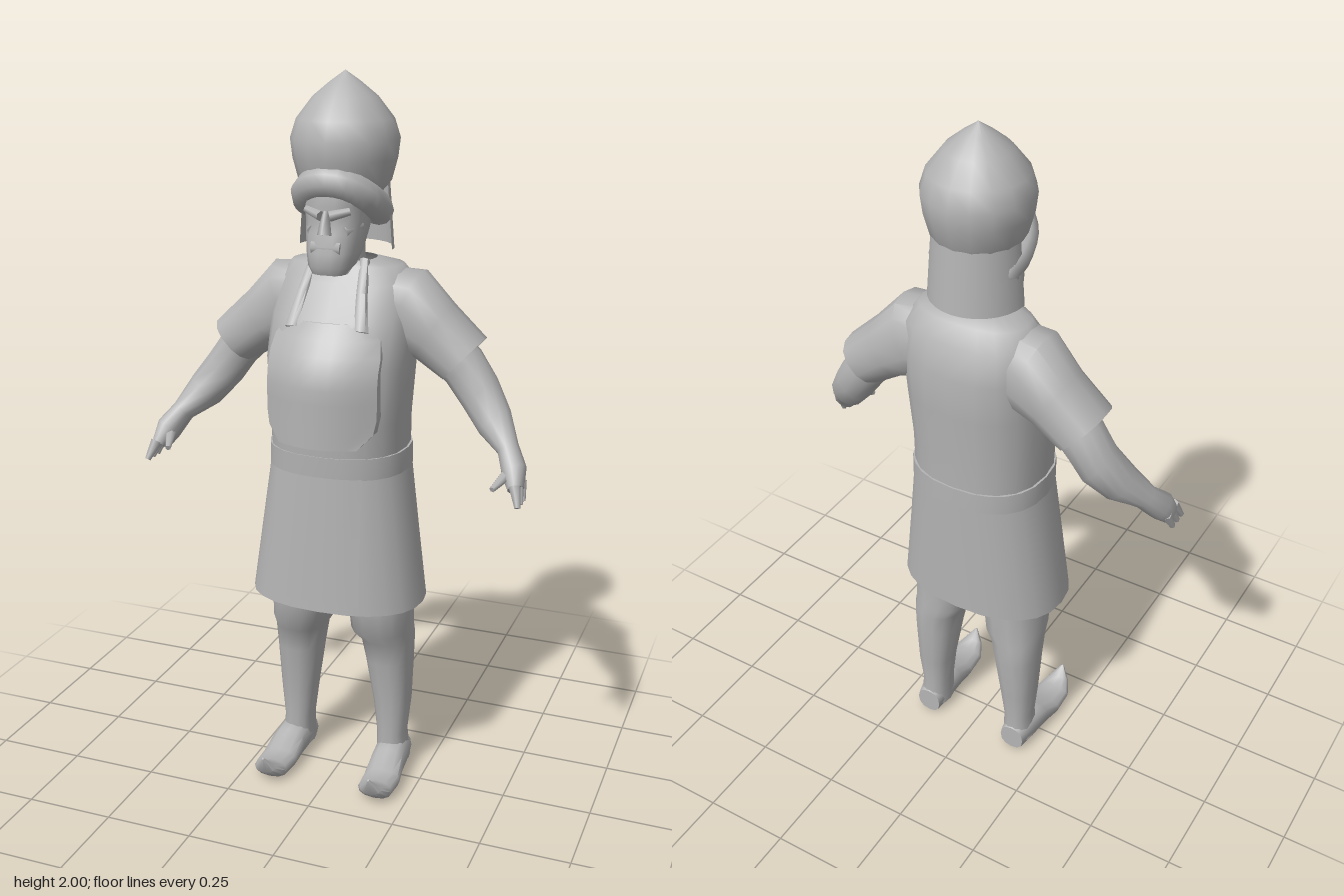
import * as THREE from 'three';
import { toCreasedNormals } from 'three/addons/utils/BufferGeometryUtils.js';

const POWER = 0.85; // cross-sections are slightly squared ellipses
const bend = (v) => Math.sign(v) * Math.abs(v) ** POWER;

// Skin over rings [x, y, z, halfWidth, halfDepth, tiltZ, tiltX], listed along each ring's own up axis
function loft(rings, sides = 16, caps = true) {
  const pos = [], index = [];
  const p = new THREE.Vector3();
  rings.forEach(([x, y, z, a, b, tz = 0, tx = 0]) => {
    const turn = new THREE.Euler(tx, 0, tz);
    for (let j = 0; j < sides; j++) {
      const t = (j / sides) * Math.PI * 2;
      p.set(a * bend(Math.cos(t)), 0, b * bend(Math.sin(t))).applyEuler(turn);
      pos.push(x + p.x, y + p.y, z + p.z);
    }
  });
  for (let i = 0; i < rings.length - 1; i++) {
    for (let j = 0; j < sides; j++) {
      const a = i * sides + j, b = i * sides + (j + 1) % sides;
      index.push(a, a + sides, b, b, a + sides, b + sides);
    }
  }
  if (caps) {
    [0, rings.length - 1].forEach((r, end) => {
      const centre = pos.length / 3;
      pos.push(...rings[r].slice(0, 3));
      for (let j = 0; j < sides; j++) {
        const a = r * sides + j, b = r * sides + (j + 1) % sides;
        if (end) index.push(centre, b, a); else index.push(centre, a, b);
      }
    });
  }
  const g = new THREE.BufferGeometry();
  g.setAttribute('position', new THREE.Float32BufferAttribute(pos, 3));
  g.setIndex(index);
  return toCreasedNormals(g, 0.9);
}

// Mirror rings to the side s (+1 left, -1 right)
const side = (s, rings) => rings.map(([x, y, z, a, b, tz = 0, tx = 0]) => [s * x, y, z, a, b, s * tz, tx]);

// Tapered rod between two points
function rod(from, to, r0, r1, sides = 6) {
  const a = new THREE.Vector3(...from), b = new THREE.Vector3(...to);
  const d = b.clone().sub(a);
  const g = new THREE.CylinderGeometry(r1, r0, d.length(), sides);
  g.applyQuaternion(new THREE.Quaternion().setFromUnitVectors(new THREE.Vector3(0, 1, 0), d.normalize()));
  return g.translate(...a.add(b).multiplyScalar(0.5).toArray());
}

// Move the vertices of a sheet by a rule
function shapeSheet(g, rule) {
  const p = g.attributes.position;
  for (let i = 0; i < p.count; i++) p.setXYZ(i, ...rule(p.getX(i), p.getY(i)));
  g.computeVertexNormals();
  return g;
}

export function createModel() {
  const model = new THREE.Group();
  const grey = new THREE.MeshStandardMaterial({ color: 0xb4b4b4, side: THREE.DoubleSide });
  grey.name = 'plain grey';
  const add = (name, geometry) => {
    const m = new THREE.Mesh(geometry, grey);
    m.name = name;
    model.add(m);
    return m;
  };

  // Tunic, skirt and belt
  add('tunic', loft([
    [0, 0.95, -0.015, 0.188, 0.165], [0, 1.1, -0.01, 0.19, 0.174], [0, 1.25, -0.015, 0.2, 0.18],
    [0, 1.37, -0.045, 0.2, 0.155], [0, 1.46, -0.065, 0.19, 0.115], [0, 1.505, -0.06, 0.155, 0.088],
    [0, 1.52, -0.045, 0.085, 0.068],
  ], 20, false));
  add('skirt', loft([
    [0, 0.57, 0, 0.248, 0.17], [0, 0.77, -0.007, 0.22, 0.168], [0, 0.96, -0.015, 0.194, 0.166],
  ], 24, false));
  add('belt', loft([[0, 0.955, -0.015, 0.196, 0.17], [0, 1.015, -0.014, 0.194, 0.172]], 24));

  // Apron panel follows the front of the skirt
  add('apronSkirt', shapeSheet(new THREE.PlaneGeometry(0.255, 0.36, 10, 2), (x, y) => {
    const px = x - 0.0125, py = y + 0.78, k = (py - 0.57) / 0.39;
    const rx = 0.248 - 0.054 * k;
    return [px, py, -0.015 * k + 0.168 * (1 - Math.abs(px / rx) ** (2 / POWER)) ** (POWER / 2) + 0.009];
  }));

  // Bib with clipped corners; the outermost row folds back as its edge
  add('apronBib', toCreasedNormals(shapeSheet(new THREE.PlaneGeometry(2, 2, 10, 10), (u, v) => {
    const edge = Math.max(Math.abs(u), Math.abs(v)) > 0.99;
    const cu = THREE.MathUtils.clamp(u / 0.8, -1, 1), cv = THREE.MathUtils.clamp(v / 0.8, -1, 1);
    const x = cu * (0.155 - 0.045 * Math.max(0, (Math.abs(cv) - 0.7) / 0.3));
    const y = 1.21 + cv * 0.16;
    const front = y < 1.22 ? 0.2 : 0.2 - 0.085 * ((y - 1.22) / 0.15) ** 1.5;
    return [x, y, front - 2.6 * x * x - (edge ? 0.045 : 0)];
  }), 0.9));

  for (const s of [1, -1]) {
    // Apron straps
    add('apronStrap', loft(side(s, [
      [0.095, 1.35, 0.1, 0.022, 0.012, 0, -0.5], [0.082, 1.44, 0.055, 0.016, 0.012, 0, -0.6],
      [0.07, 1.52, 0.0, 0.014, 0.012, 0, -0.8],
    ]), 8));

    // Short flared sleeve
    add('sleeve', loft(side(s, [
      [0.33, 1.262, -0.068, 0.076, 0.088, 0.83], [0.245, 1.33, -0.07, 0.087, 0.088, 1.0],
      [0.17, 1.385, -0.065, 0.115, 0.098, 1.2], [0.09, 1.4, -0.06, 0.1, 0.085, 1.4],
    ]), 14, false));

    // Arm, from wrist up to shoulder
    add('arm', loft(side(s, [
      [0.517, 0.965, 0.075, 0.022, 0.03, 0.4, -0.6], [0.503, 1.005, 0.045, 0.034, 0.04, 0.5, -0.6],
      [0.475, 1.05, 0.005, 0.03, 0.035, 0.6, -0.5], [0.425, 1.105, -0.04, 0.052, 0.052, 0.75, -0.4],
      [0.375, 1.17, -0.072, 0.06, 0.06, 0.85, -0.15], [0.325, 1.24, -0.075, 0.062, 0.062, 0.85],
      [0.24, 1.32, -0.07, 0.06, 0.06, 0.9],
    ]), 12));

    // Fingers and thumb
    for (let i = 0; i < 3; i++) {
      add('finger', rod([s * (0.518 + 0.002 * i), 0.98, 0.095 - 0.025 * i],
        [s * 0.534, 0.932, 0.122 - 0.028 * i], 0.016, 0.008));
    }
    add('thumb', rod([s * 0.49, 1.0, 0.06], [s * 0.466, 0.975, 0.125], 0.017, 0.008));

    // Leg with baggy knee, from ankle up
    add('leg', loft(side(s, [
      [0.15, 0.03, -0.055, 0.047, 0.052], [0.146, 0.12, -0.052, 0.042, 0.052], [0.145, 0.22, -0.055, 0.053, 0.06],
      [0.137, 0.36, -0.05, 0.066, 0.077], [0.132, 0.43, -0.045, 0.074, 0.085], [0.12, 0.465, -0.03, 0.085, 0.1],
      [0.115, 0.56, -0.027, 0.09, 0.105], [0.11, 0.68, -0.025, 0.085, 0.11],
    ]), 14));

    // Shoe with curled toe, heel to tip
    const q = Math.PI / 2;
    add('shoe', loft(side(s, [
      [0.15, 0.042, -0.108, 0.038, 0.04, 0, q], [0.152, 0.055, -0.05, 0.048, 0.053, 0, q],
      [0.156, 0.047, 0.02, 0.05, 0.045, 0, q], [0.16, 0.03, 0.08, 0.054, 0.027, 0, q],
      [0.161, 0.032, 0.145, 0.05, 0.025, 0, q - 0.3], [0.161, 0.055, 0.182, 0.03, 0.016, 0, q - 0.8],
      [0.161, 0.092, 0.2, 0.003, 0.003, 0, q - 1.1],
    ]), 12));

    // Brow, cheekbone and ear side of the face
    add('brow', rod([s * 0.012, 1.648, 0.108], [s * 0.06, 1.66, 0.085], 0.014, 0.01));
    add('cheek', rod([s * 0.042, 1.605, 0.085], [s * 0.068, 1.62, 0.03], 0.016, 0.014));
  }

  // Neck and head, chin upward
  add('neck', loft([[0, 1.42, -0.04, 0.075, 0.07], [0, 1.5, -0.02, 0.06, 0.065], [0, 1.58, -0.01, 0.06, 0.065]], 12));
  add('head', loft([
    [0, 1.495, 0.078, 0.045, 0.03], [0, 1.515, 0.058, 0.06, 0.06], [0, 1.55, 0.035, 0.07, 0.082],
    [0, 1.6, 0.015, 0.078, 0.092], [0, 1.635, 0.003, 0.083, 0.095], [0, 1.67, -0.005, 0.088, 0.11],
    [0, 1.74, -0.02, 0.1, 0.11],
  ], 14));
  add('nose', rod([0, 1.6, 0.112], [0, 1.66, 0.1], 0.02, 0.009, 4));
  add('moustache', rod([-0.04, 1.565, 0.095], [0.04, 1.565, 0.095], 0.018, 0.018));

  // Pointed helmet
  const profile = [[0.105, 1.7], [0.122, 1.72], [0.138, 1.78], [0.144, 1.83], [0.128, 1.88], [0.085, 1.935],
    [0.04, 1.972], [0, 2]].map(([r, y]) => new THREE.Vector2(r, y));
  add('helmet', new THREE.LatheGeometry(profile, 16)).position.z = -0.04;

  // Neck guard hanging around the back
  const guard = new THREE.CylinderGeometry(0.118, 0.131, 0.175, 14, 1, true, Math.PI / 2, Math.PI);
  add('neckGuard', guard).position.set(0, 1.632, -0.04);

  // Rolled turban band, high in front and dropping at the sides
  const half = [[0.087, 1.645, -0.06], [0.092, 1.665, -0.015], [0.08, 1.695, 0.035], [0.045, 1.722, 0.068]];
  const path = [...half.map(([x, y, z]) => new THREE.Vector3(-x, y, z)), new THREE.Vector3(0, 1.73, 0.078),
    ...half.map((p) => new THREE.Vector3(...p)).reverse()];
  add('turbanBand', new THREE.TubeGeometry(new THREE.CatmullRomCurve3(path), 20, 0.041, 8));
  for (const s of [1, -1]) {
    add('turbanEnd', new THREE.SphereGeometry(0.041, 8, 6)).position.set(s * 0.087, 1.645, -0.06);
  }

  return model;
}
